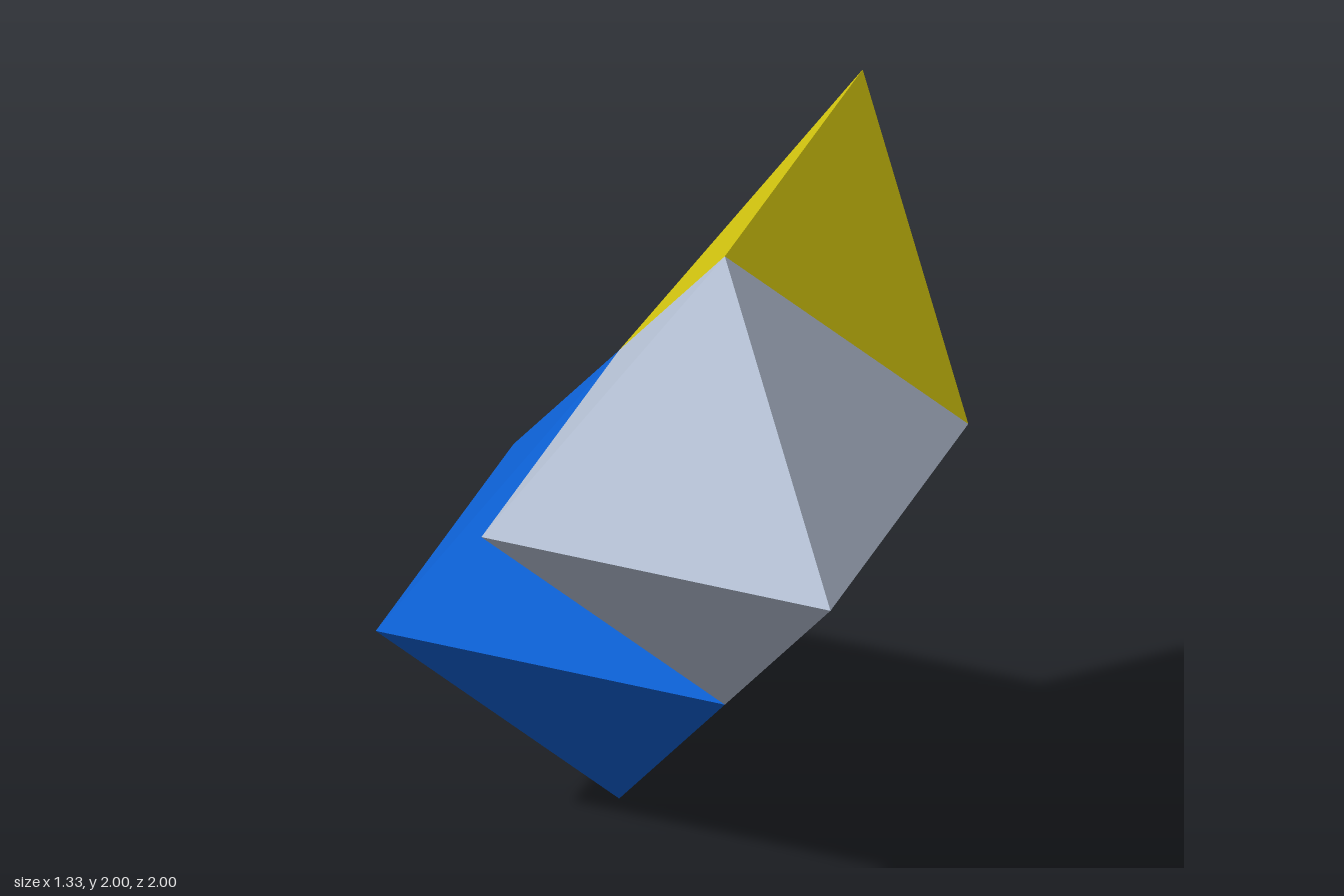
import * as THREE from 'three';

const R = 2 / 3; // octahedron radius, also the side of the cube around each tetrahedron

function addSolid(group, name, geometry, color, x, y, z) {
  const material = new THREE.MeshStandardMaterial({ color, flatShading: true });
  const mesh = new THREE.Mesh(geometry, material);
  mesh.name = name;
  mesh.position.set(x, y, z);
  group.add(mesh);
  return mesh;
}

export function createModel() {
  const group = new THREE.Group();
  group.name = 'octahedronTetrahedronChain';

  const octahedron = new THREE.OctahedronGeometry(R);
  const tetrahedron = new THREE.TetrahedronGeometry((R / 2) * Math.sqrt(3));

  // Two octahedra meeting along one edge
  addSolid(group, 'lowerOctahedron', octahedron, 0x0d62d8, 0, R, -R / 2);
  addSolid(group, 'upperOctahedron', octahedron, 0xb8c4d8, 0, 2 * R, R / 2);

  // Tetrahedron filling the gap between the octahedra
  addSolid(group, 'middleTetrahedron', tetrahedron, 0xc40ca8, R / 2, 1.5 * R, 0);

  // Tetrahedron on the upper octahedron's rear left face, turned to mirror the middle one
  const top = addSolid(group, 'topTetrahedron', tetrahedron, 0xd6c80f, R / 2, 2.5 * R, 0);
  top.rotation.y = Math.PI / 2;

  return group;
}
